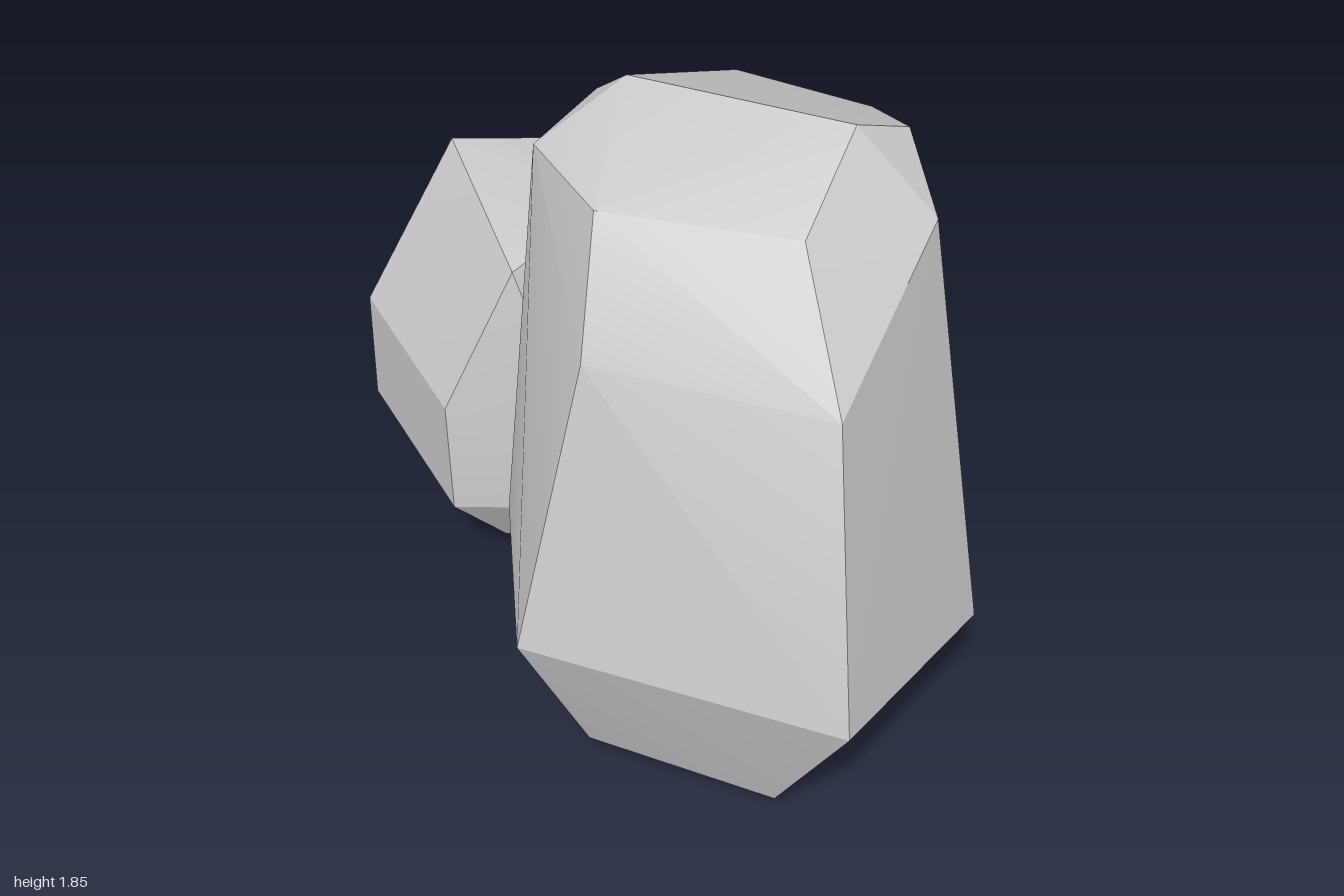
import * as THREE from 'three';
import { ConvexGeometry } from 'three/addons/geometries/ConvexGeometry.js';
import { toCreasedNormals } from 'three/addons/utils/BufferGeometryUtils.js';

const material = new THREE.MeshStandardMaterial({ color: 0xcccccc });

// A faceted boulder: the hull of a few rings of corners, soft only across slight bends
function makeRock(name, rings) {
  const corners = rings.flat().map((p) => new THREE.Vector3(...p));
  const mesh = new THREE.Mesh(toCreasedNormals(new ConvexGeometry(corners), 0.35), material);
  mesh.name = name;
  return mesh;
}

export function createModel() {
  const group = new THREE.Group();
  group.name = 'rockCluster';

  group.add(makeRock('largeRock', [
    // base
    [[0.05, 0, 0.28], [0.1, 0.06, 0.7], [0.65, 0.06, 0.7], [0.7, 0, 0.28], [0.5, 0, -0.14], [0.1, 0, -0.14]],
    // widest ring
    [[-0.35, 0.42, 0.28], [-0.01, 0.52, 0.89], [0.89, 0.49, 0.82], [1, 0.39, 0.14], [0.6, 0.39, -0.52], [-0.05, 0.38, -0.52]],
    // shoulders
    [[0.12, 1.38, 0.74], [0.77, 1.35, 0.66], [0.81, 1.63, 0.14], [-0.23, 1.66, 0.28], [0.07, 1.7, 0.55], [0.58, 1.69, 0.45]],
    // sloping top
    [[0.59, 1.85, 0.15], [0.67, 1.77, -0.02], [0.48, 1.64, -0.28], [0.05, 1.59, -0.39], [-0.15, 1.73, 0.07], [-0.05, 1.81, 0.1]],
  ]));

  group.add(makeRock('smallRock', [
    // underside ridges
    [[-0.22, 0.01, -0.14], [-0.84, 0.08, -0.6], [-0.48, 0.1, 0.07], [-0.92, 0.15, -0.29], [-0.12, 0.13, -0.38], [-0.62, 0.2, -0.76]],
    // lower ring
    [[-0.95, 0.21, -0.67], [-0.61, 0.41, -0.9], [-0.1, 0.31, -0.5], [-0.18, 0.28, 0.04], [-0.56, 0.3, 0.23], [-1, 0.36, -0.1]],
    // upper ring
    [[-1, 0.71, -0.1], [-0.57, 0.66, 0.23], [-0.22, 0.54, 0.07], [-0.1, 0.85, -0.4], [-0.61, 0.94, -0.8]],
    // top
    [[-0.83, 1.17, -0.35], [-0.41, 1.09, 0.09], [-0.28, 1.14, -0.31], [-0.54, 1.1, -0.61]],
  ]));

  return group;
}
